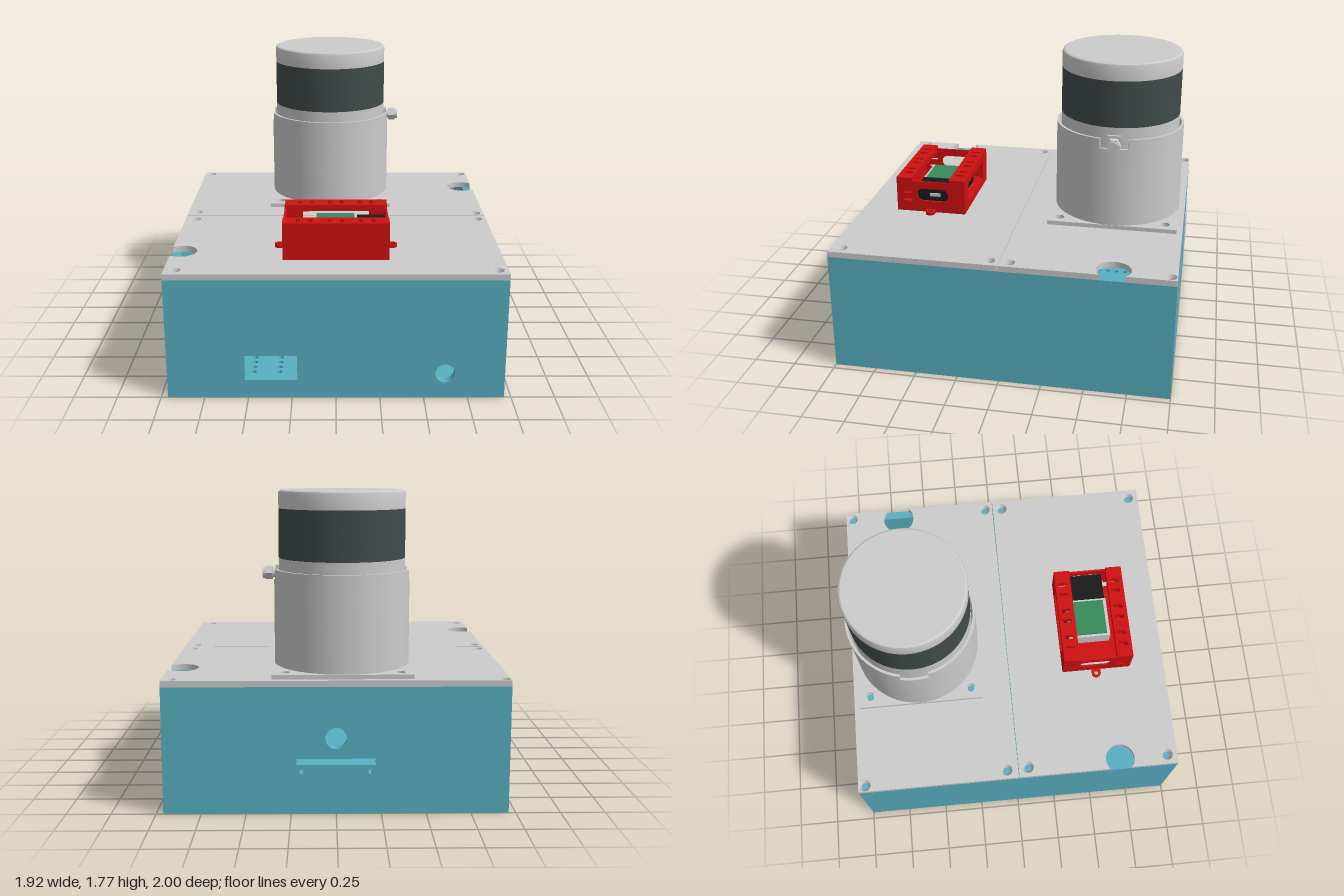
import * as THREE from 'three';
import { toCreasedNormals } from 'three/addons/utils/BufferGeometryUtils.js';

const mat = (color) => new THREE.MeshStandardMaterial({ color, side: THREE.DoubleSide });
const GREY = mat(0xcccccc), TEAL = mat(0x58b0c2), DARK = mat(0x414b4a), RED = mat(0xd01010);
const GREEN = mat(0x358c5c), BLACK = mat(0x181a1c), LIGHT = mat(0xe8e8e8);

function add(parent, name, geo, material, x = 0, y = 0, z = 0) {
  const m = new THREE.Mesh(geo, material);
  m.name = name;
  m.position.set(x, y, z);
  parent.add(m);
  return m;
}

// box given by its limits
const block = (p, name, m, x0, x1, y0, y1, z0, z1) => add(p, name,
  new THREE.BoxGeometry(x1 - x0, y1 - y0, z1 - z0), m, (x0 + x1) / 2, (y0 + y1) / 2, (z0 + z1) / 2);

function trace(path, pts) {
  pts.forEach(([x, y], i) => (i ? path.lineTo(x, y) : path.moveTo(x, y)));
  path.closePath();
  return path;
}
const rectPts = (x0, x1, y0, y1) => [[x0, y0], [x1, y0], [x1, y1], [x0, y1]];
const rect = (...a) => trace(new THREE.Shape(), rectPts(...a));
const rectHole = (s, ...a) => s.holes.push(trace(new THREE.Path(), rectPts(...a)));
const roundHole = (s, x, y, r) => s.holes.push(new THREE.Path().absarc(x, y, r, 0, Math.PI * 2, true));

const extrude = (shape, depth, curveSegments = 16) => toCreasedNormals(
  new THREE.ExtrudeGeometry(shape, { depth, bevelEnabled: false, curveSegments }), 0.6);
// horizontal slab: shape drawn in (x, -z), raised along y
const slab = (shape, h, seg) => extrude(shape, h, seg).rotateX(-Math.PI / 2);

function buildCase(root) {
  const g = new THREE.Group();
  g.name = 'case';
  root.add(g);

  // floor with vent rows running front to back
  const floor = rect(-0.96, 0.96, -1, 1);
  const vents = [[0.27, 0.71, 4, 0.15], [-0.64, -0.18, 4, 0.15], [-0.64, -0.33, 3, -0.73]];
  for (const [x0, x1, rows, z0] of vents)
    for (let i = 0; i < rows; i++)
      for (let k = 0; k < 11; k++)
        roundHole(floor, x0 + (x1 - x0) * i / (rows - 1), -(z0 + 0.062 * k), 0.017);
  add(g, 'ventedFloor', slab(floor, 0.04, 4), TEAL);

  // front wall with socket opening and cable hole
  const front = rect(-0.96, 0.96, 0.04, 0.72);
  rectHole(front, -0.52, -0.22, 0.11, 0.26);
  roundHole(front, 0.62, 0.15, 0.056);
  add(g, 'frontWall', extrude(front, 0.05), TEAL, 0, 0, 0.95);

  // back wall with round port, card slot and two screw holes
  const back = rect(-0.96, 0.96, 0.04, 0.72);
  roundHole(back, 0, 0.43, 0.06);
  rectHole(back, -0.22, 0.22, 0.28, 0.315);
  for (const s of [-1, 1]) roundHole(back, s * 0.19, 0.24, 0.013);
  add(g, 'backWall', extrude(back, 0.05), TEAL, 0, 0, -1);

  for (const s of [-1, 1])
    block(g, 'sideWall', TEAL, s > 0 ? 0.91 : -0.96, s > 0 ? 0.96 : -0.91, 0.04, 0.72, -0.95, 0.95);
  block(g, 'powerUnit', GREY, 0.45, 0.76, 0.04, 0.4, -0.9, -0.3);
}

function buildLid(root) {
  const frontHoles = [[-0.9, 0.06], [0.9, 0.06], [-0.9, 0.935], [0.9, 0.935]];
  const rearHoles = [[-0.92, -0.96], [0.915, -0.96], [-0.905, -0.075], [0.905, -0.055]];

  // each lid half has a cable notch breaking through one side edge
  const front = new THREE.Shape();
  front.moveTo(-0.96, -1).lineTo(0.96, -1).lineTo(0.96, -0.002).lineTo(-0.96, -0.002);
  front.absarc(-0.9, -0.64, 0.09, 2.3, -2.3, true);
  front.closePath();
  const rear = new THREE.Shape();
  rear.moveTo(-0.96, 0.002).lineTo(0.96, 0.002);
  rear.absarc(0.89, 0.645, 0.1, -0.793, 0.793, true);
  rear.lineTo(0.96, 1).lineTo(-0.96, 1).closePath();

  const sink = [[0.036, 0.035], [0.022, 0.012], [0.022, 0]].map((p) => new THREE.Vector2(...p));
  for (const [name, shape, holes] of [['frontLid', front, frontHoles], ['rearLid', rear, rearHoles]]) {
    for (const [x, z] of holes) {
      roundHole(shape, x, -z, 0.036);
      add(root, 'countersink', new THREE.LatheGeometry(sink, 20), GREY, x, 0.72, z);
      add(root, 'screwPost', new THREE.CylinderGeometry(0.038, 0.038, 0.67, 16), TEAL, x, 0.385, z);
    }
    add(root, name, slab(shape, 0.035), GREY, 0, 0.72, 0);
  }
}

// ring sector around the origin, between two angles
function sector(ri, ro, a0, a1, h) {
  const s = new THREE.Shape();
  s.absarc(0, 0, ro, a0, a1, false);
  s.absarc(0, 0, ri, a1, a0, true);
  s.closePath();
  return slab(s, h, 40);
}

function buildScanner(root) {
  const g = new THREE.Group();
  g.name = 'scannerTower';
  g.position.set(-0.037, 0.755, -0.573);
  root.add(g);

  // mounting flange
  const flange = rect(-0.392, 0.392, -0.392, 0.392);
  for (const x of [-0.322, 0.322])
    for (const z of [-0.322, 0.322]) {
      roundHole(flange, x, z, 0.027);
      add(g, 'flangeScrew', new THREE.CylinderGeometry(0.02, 0.02, 0.01, 16), TEAL, x, 0.005, z);
    }
  add(g, 'flange', slab(flange, 0.025), GREY);

  // sleeve with a notch at each side of its rim
  const sleeve = new THREE.Shape().absarc(0, 0, 0.39, 0, Math.PI * 2, false);
  roundHole(sleeve, 0, 0, 0.374);
  add(g, 'sleeve', slab(sleeve, 0.485, 48), GREY, 0, 0.025, 0);
  for (const a of [0, Math.PI])
    add(g, 'sleeveRim', sector(0.374, 0.39, a + 0.22, a + Math.PI - 0.22, 0.06), GREY, 0, 0.51, 0);

  // sensor body, window band and cap
  const turned = (pts) => toCreasedNormals(
    new THREE.LatheGeometry(pts.map((p) => new THREE.Vector2(...p)), 64), 0.5);
  add(g, 'sensorBody', turned([[0, 0.03], [0.363, 0.03], [0.363, 0.635]]), GREY);
  add(g, 'windowBand', turned([[0.363, 0.635], [0.363, 0.915]]), DARK);
  add(g, 'sensorCap', turned([[0.363, 0.915], [0.363, 1.0], [0.359, 1.012], [0.349, 1.018], [0, 1.018]]), GREY);

  // cable gland on the side
  block(g, 'glandBoss', GREY, 0.34, 0.38, 0.505, 0.59, -0.04, 0.04);
  const along = (r, len, n) => new THREE.CylinderGeometry(r, r, len, n).rotateZ(Math.PI / 2);
  add(g, 'glandNeck', along(0.028, 0.05, 20), GREY, 0.39, 0.545, 0);
  add(g, 'glandNut', toCreasedNormals(along(0.042, 0.042, 6), 0.4), GREY, 0.418, 0.545, 0);
  add(g, 'glandTip', along(0.032, 0.018, 20), GREY, 0.446, 0.545, 0);
}

function buildBracket(root) {
  const g = new THREE.Group();
  g.name = 'controllerBracket';
  root.add(g);
  block(g, 'bracketFloor', RED, -0.25, 0.25, 0.755, 0.79, 0.36, 0.77);

  // slotted top bars
  for (const z of [0.345, 0.68]) {
    const bar = rect(-0.305, 0.305, -z - 0.1, -z);
    for (const x of [-0.217, -0.145, -0.036, 0.034, 0.142, 0.212])
      rectHole(bar, x - 0.011, x + 0.011, -z - 0.075, -z - 0.02);
    add(g, 'slottedBar', slab(bar, 0.04), RED, 0, 0.935, 0);
  }
  block(g, 'frontWall', RED, -0.305, 0.305, 0.755, 0.935, 0.76, 0.78);

  // rear wall with a wide opening
  const rearWall = rect(-0.305, 0.305, 0.755, 0.935);
  rectHole(rearWall, -0.2, 0.2, 0.8, 0.925);
  add(g, 'rearWall', extrude(rearWall, 0.02), RED, 0, 0, 0.345);

  // end walls drawn in (-z, y), with port window and latch slits
  const profile = [[-0.78, 0.755], [-0.345, 0.755], [-0.345, 0.975], [-0.44, 0.975],
    [-0.45, 0.955], [-0.7, 0.955], [-0.715, 0.975], [-0.78, 0.975]];
  for (const s of [-1, 1]) {
    const end = trace(new THREE.Shape(), profile);
    const port = new THREE.Path();
    port.absarc(-0.61, 0.868, 0.04, Math.PI / 2, Math.PI * 1.5, false);
    port.absarc(-0.49, 0.868, 0.04, -Math.PI / 2, Math.PI / 2, false);
    port.closePath();
    end.holes.push(port);
    for (const y of [0.83, 0.88]) rectHole(end, -0.74, -0.685, y - 0.007, y + 0.007);
    add(g, 'endWall', extrude(end, 0.012).rotateY(Math.PI / 2), RED, s > 0 ? 0.293 : -0.305, 0, 0);
    block(g, 'sideRail', LIGHT, s > 0 ? 0.25 : -0.293, s > 0 ? 0.293 : -0.25, 0.758, 0.785, 0.445, 0.68);

    // screw lug
    const lug = new THREE.Shape();
    lug.moveTo(-0.05, -0.06).lineTo(0, -0.028);
    lug.absarc(0.03, 0, 0.028, -Math.PI / 2, Math.PI / 2, false);
    lug.lineTo(0, 0.028).lineTo(-0.05, 0.06).closePath();
    roundHole(lug, 0.03, 0, 0.014);
    add(g, 'screwLug', slab(lug, 0.02).rotateY(s > 0 ? 0 : Math.PI), RED, s * 0.303, 0.755, 0.56);
  }

  // controller module: shell, screen and plugs
  block(g, 'moduleShell', LIGHT, -0.13, 0.125, 0.79, 0.9, 0.4, 0.665);
  block(g, 'moduleScreen', GREEN, -0.115, 0.11, 0.9, 0.91, 0.4, 0.645);
  block(g, 'rearConnector', BLACK, -0.11, 0.105, 0.81, 0.885, 0.39, 0.4);
  block(g, 'sidePort', BLACK, 0.125, 0.288, 0.822, 0.914, 0.445, 0.655);
  block(g, 'portTongue', LIGHT, 0.28, 0.296, 0.858, 0.878, 0.505, 0.57);
}

export function createModel() {
  const root = new THREE.Group();
  root.name = 'sensorBox';
  buildCase(root);
  buildLid(root);
  buildScanner(root);
  buildBracket(root);
  return root;
}
